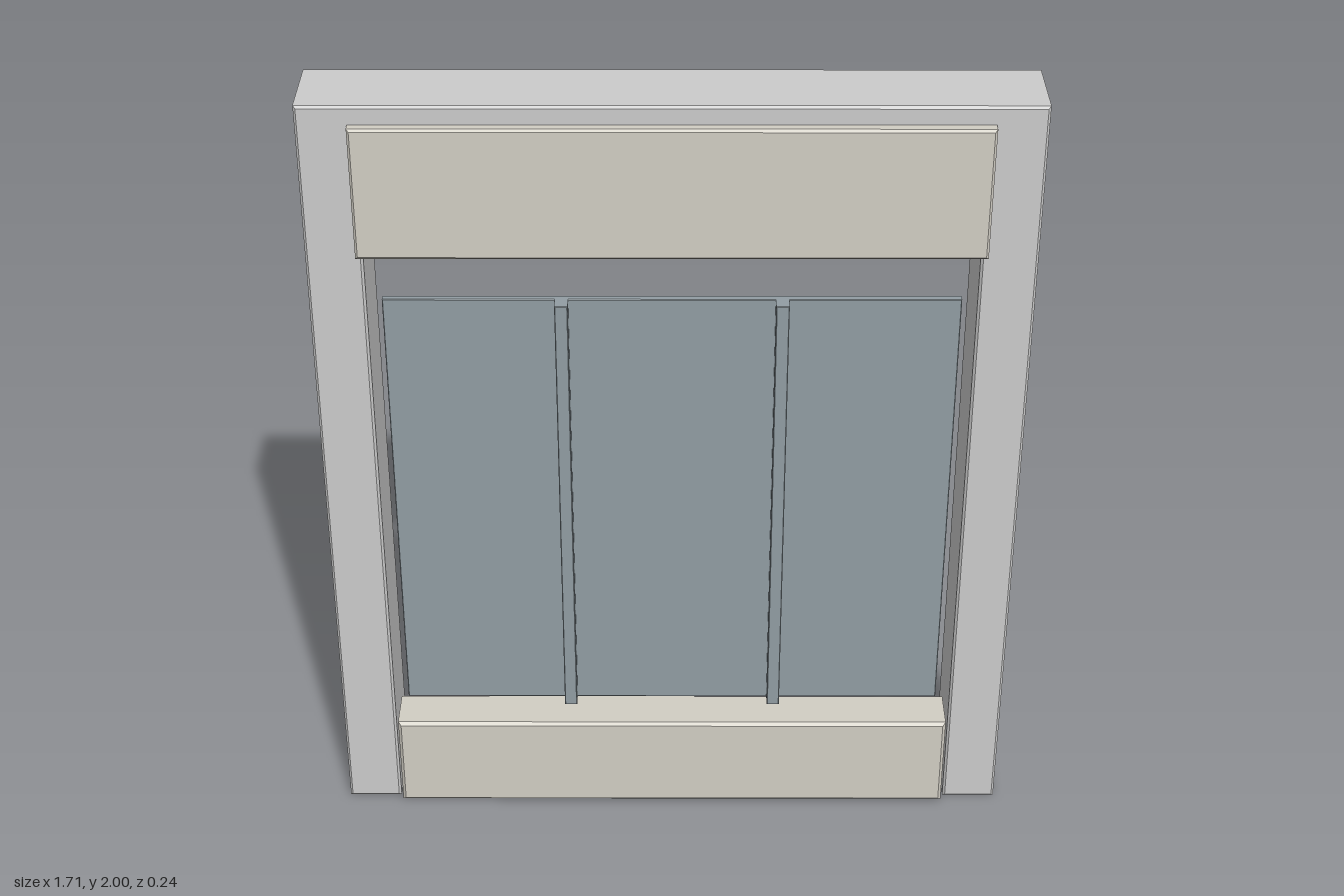
import * as THREE from 'three';

const frameGrey = new THREE.MeshStandardMaterial({ color: 0xc6c6c6 });
const stone = new THREE.MeshStandardMaterial({ color: 0xd2cec4 });
const slate = new THREE.MeshStandardMaterial({ color: 0x929da3 });

// Extrudes an outline between two depths, with a small chamfer kept inside the size
function slab(name, points, z0, z1, bevel, material) {
  const shape = new THREE.Shape(points.map(([x, y]) => new THREE.Vector2(x, y)));
  const geometry = new THREE.ExtrudeGeometry(shape, {
    depth: z1 - z0 - 2 * bevel,
    bevelEnabled: bevel > 0,
    bevelThickness: bevel,
    bevelSize: bevel,
    bevelOffset: -bevel,
    bevelSegments: 1,
  });
  geometry.translate(0, 0, z0 + bevel);
  const mesh = new THREE.Mesh(geometry, material);
  mesh.name = name;
  return mesh;
}

const rect = (x0, x1, y0, y1) => [[x0, y0], [x1, y0], [x1, y1], [x0, y1]];

export function createModel() {
  const model = new THREE.Group();
  model.name = 'doorway';

  // Frame: two posts joined by a lintel
  const W = 0.855, inner = 0.72, lintel = 1.89;
  model.add(slab('frame', [
    [-W, 0], [-inner, 0], [-inner, lintel], [inner, lintel],
    [inner, 0], [W, 0], [W, 2], [-W, 2],
  ], -0.12, 0.09, 0.006, frameGrey));

  // Header board and bottom sill, both standing proud of the frame
  model.add(slab('header', rect(-0.735, 0.735, 1.625, 1.955), 0.06, 0.118, 0.006, stone));
  model.add(slab('sill', rect(-0.713, 0.713, 0.005, 0.262), -0.01, 0.115, 0.008, stone));

  // Floating door panel with two vertical ribs on its front
  const door = new THREE.Group();
  door.name = 'door';
  door.add(slab('doorPanel', rect(-0.69, 0.69, 0.29, 1.475), 0.015, 0.035, 0.002, slate));
  for (const side of [-1, 1]) {
    const x = side * 0.263;
    door.add(slab(side < 0 ? 'rightRib' : 'leftRib',
      rect(x - 0.016, x + 0.016, 0.29, 1.475), 0.03, 0.07, 0.002, slate));
  }
  model.add(door);

  return model;
}
